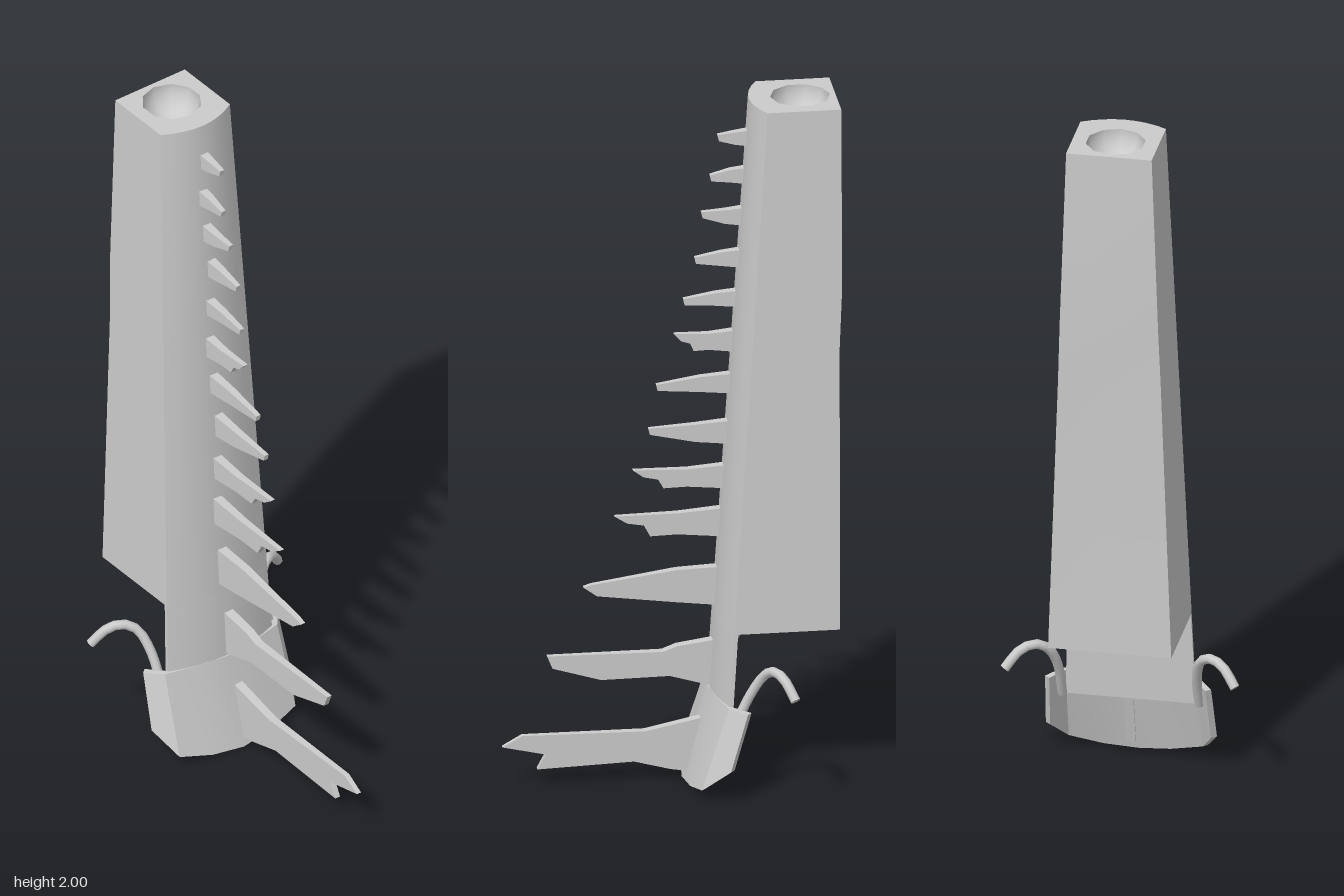
import * as THREE from 'three';
import { toCreasedNormals } from 'three/addons/utils/BufferGeometryUtils.js';

const material = new THREE.MeshStandardMaterial({ color: 0xcccccc, side: THREE.DoubleSide });

function add(parent, name, geometry) {
  const mesh = new THREE.Mesh(geometry, material);
  mesh.name = name;
  parent.add(mesh);
  return mesh;
}

// Skin a list of equal-length rings; fan caps close the chosen ends
function loft(rings, capStart = true, capEnd = true) {
  const n = rings[0].length, index = [];
  for (let i = 0; i < rings.length - 1; i++) {
    for (let j = 0; j < n; j++) {
      const a = i * n + j, b = i * n + (j + 1) % n;
      index.push(a, b, b + n, a, b + n, a + n);
    }
  }
  const last = (rings.length - 1) * n;
  for (let j = 1; j < n - 1; j++) {
    if (capStart) index.push(0, j + 1, j);
    if (capEnd) index.push(last, last + j, last + j + 1);
  }
  const geometry = new THREE.BufferGeometry();
  geometry.setAttribute('position', new THREE.Float32BufferAttribute(rings.flat(2), 3));
  geometry.setIndex(index);
  return toCreasedNormals(geometry, 0.5);
}

// The tower narrows and leans back with height
const halfWidth = y => 0.12 + (2 - y) * 0.0347;
const frontZ = y => -0.222 + (2 - y) * 0.065;
const BOW = 0.036;

// Cross-section: bowed front, flat back
function section(y, backZ) {
  const w = halfWidth(y), ring = [];
  for (let i = -4; i <= 4; i++) {
    const t = i / 4;
    ring.push([t * w, y, frontZ(y) - BOW * t * t]);
  }
  ring.push([w, y, backZ], [-w, y, backZ]);
  return ring;
}

// Blade outline in (z, y), thinning towards its tip
function blade(points, x, thick) {
  const shape = new THREE.Shape(points.map(p => new THREE.Vector2(p[0], p[1])));
  const geometry = new THREE.ExtrudeGeometry(shape, { depth: 1, bevelEnabled: false });
  geometry.translate(0, 0, -0.5).rotateY(-Math.PI / 2);
  const pos = geometry.attributes.position;
  const zs = points.map(p => p[0]), root = Math.min(...zs), tip = Math.max(...zs);
  for (let i = 0; i < pos.count; i++) {
    const t = (pos.getZ(i) - root) / (tip - root);
    pos.setX(i, x + pos.getX(i) * thick * (1 - 0.5 * t));
  }
  geometry.computeVertexNormals();
  return geometry;
}

export function createModel() {
  const group = new THREE.Group();

  // Tall body, with a slight step in the back
  const backs = [[0.48, -0.452], [1.3, -0.455], [1.48, -0.463], [2, -0.463]];
  add(group, 'body', loft(backs.map(([y, z]) => section(y, z)), true, false));

  // Top face with a round recess
  const r = 0.083, hollowZ = -0.365;
  const top = new THREE.Shape(section(2, -0.463).map(p => new THREE.Vector2(p[0], -p[2])));
  const rim = [];
  for (let i = 0; i < 10; i++) {
    const a = Math.PI / 2 - i * Math.PI / 5;
    rim.push(new THREE.Vector2(r * Math.cos(a), -hollowZ + r * Math.sin(a)));
  }
  top.holes.push(new THREE.Path(rim));
  add(group, 'topFace', new THREE.ShapeGeometry(top).rotateX(-Math.PI / 2).translate(0, 2, 0));
  const bowl = new THREE.SphereGeometry(r, 10, 6, 0, Math.PI * 2, Math.PI / 2, Math.PI / 2);
  add(group, 'topHollow', bowl.rotateY(Math.PI / 2).translate(0, 2, hollowZ));

  // Front plate continuing below the body
  add(group, 'lowerPlate', loft([0.2, 0.48].map(y => section(y, frontZ(y) - BOW - 0.01)), true, false));

  // Curved collar: [x, bottom y, bottom z, top y, top z] from centre to edge
  const half = [
    [0, 0, -0.036, 0.27, -0.105],
    [0.1, 0.01, -0.046, 0.27, -0.118],
    [0.2, 0.035, -0.065, 0.27, -0.14],
    [0.24, 0.1, -0.14, 0.265, -0.188],
  ];
  const columns = [...half.slice(1).reverse().map(([x, ...rest]) => [-x, ...rest]), ...half];
  add(group, 'collar', loft(columns.map(([x, by, bz, ty, tz]) => {
    const tx = x * 0.97;
    return [[tx, ty, tz], [x, by, bz], [x * 0.94, by, bz - 0.012], [tx * 0.94, ty, tz - 0.012]];
  })));

  // Bent hooks at both sides
  const path = [[0.192, 0.2, -0.15], [0.195, 0.31, -0.2], [0.215, 0.375, -0.238],
    [0.25, 0.395, -0.262], [0.288, 0.38, -0.285], [0.323, 0.335, -0.308]];
  for (const side of [1, -1]) {
    const curve = new THREE.CatmullRomCurve3(path.map(p => new THREE.Vector3(p[0] * side, p[1], p[2])));
    const hook = new THREE.Group();
    hook.name = side > 0 ? 'leftHook' : 'rightHook';
    add(hook, 'hookBar', new THREE.TubeGeometry(curve, 12, 0.014, 8));
    for (const end of [0, 1]) {
      const cap = add(hook, 'hookEnd', new THREE.CircleGeometry(0.014, 8));
      const at = curve.getPoint(end);
      cap.position.copy(at);
      cap.lookAt(at.clone().addScaledVector(curve.getTangent(end), end ? 1 : -1));
    }
    group.add(hook);
  }

  // Small spikes: [x, top y, bottom y, tip z, tip y, split tip]
  const spikes = new THREE.Group();
  spikes.name = 'spikes';
  group.add(spikes);
  const small = [
    [0, 1.91, 1.86, -0.135, 1.887, 0], [-0.01, 1.795, 1.745, -0.115, 1.765, 0],
    [-0.003, 1.68, 1.625, -0.09, 1.66, 0], [0.007, 1.56, 1.505, -0.07, 1.53, 0],
    [-0.003, 1.435, 1.385, -0.04, 1.405, 0], [-0.01, 1.315, 1.25, -0.015, 1.3, 1],
    [-0.003, 1.19, 1.13, 0.035, 1.155, 0], [0.007, 1.055, 0.985, 0.058, 1.03, 0],
    [-0.003, 0.92, 0.85, 0.1, 0.905, 1], [-0.01, 0.79, 0.705, 0.15, 0.768, 1],
  ];
  for (const [x, hi, lo, tipZ, tipY, split] of small) {
    const root = frontZ((hi + lo) / 2), len = tipZ - root, h = hi - lo;
    const points = [[root - 0.02, hi], [root + len * 0.4, hi - h * 0.12], [tipZ, tipY + 0.01]];
    if (split) points.push([tipZ - len * 0.12, tipY - 0.012], [root + len * 0.72, tipY - 0.02], [root + len * 0.66, lo + h * 0.12]);
    else points.push([tipZ - 0.004, tipY - 0.008]);
    points.push([root + len * 0.4, lo + h * 0.15], [root - 0.02, lo]);
    add(spikes, 'spike', blade(points, x, 0.028));
  }

  // Large lower spikes, the lowest with a forked tip
  add(spikes, 'largeSpike', blade([[-0.16, 0.62], [-0.02, 0.615], [0.215, 0.582], [0.237, 0.575],
    [0.2, 0.548], [-0.02, 0.52], [-0.15, 0.505]], -0.003, 0.03));
  add(spikes, 'largeSpike', blade([[-0.13, 0.41], [-0.02, 0.395], [0.02, 0.38], [0.34, 0.382], [0.325, 0.345],
    [0.19, 0.305], [0, 0.308], [-0.13, 0.27]], 0.01, 0.03));
  add(spikes, 'largeSpike', blade([[-0.1, 0.185], [0.07, 0.15], [0.41, 0.153], [0.465, 0.122], [0.345, 0.095],
    [0.368, 0.052], [0.1, 0.062], [0, 0.035], [-0.06, 0.025]], 0.017, 0.028));

  return group;
}
